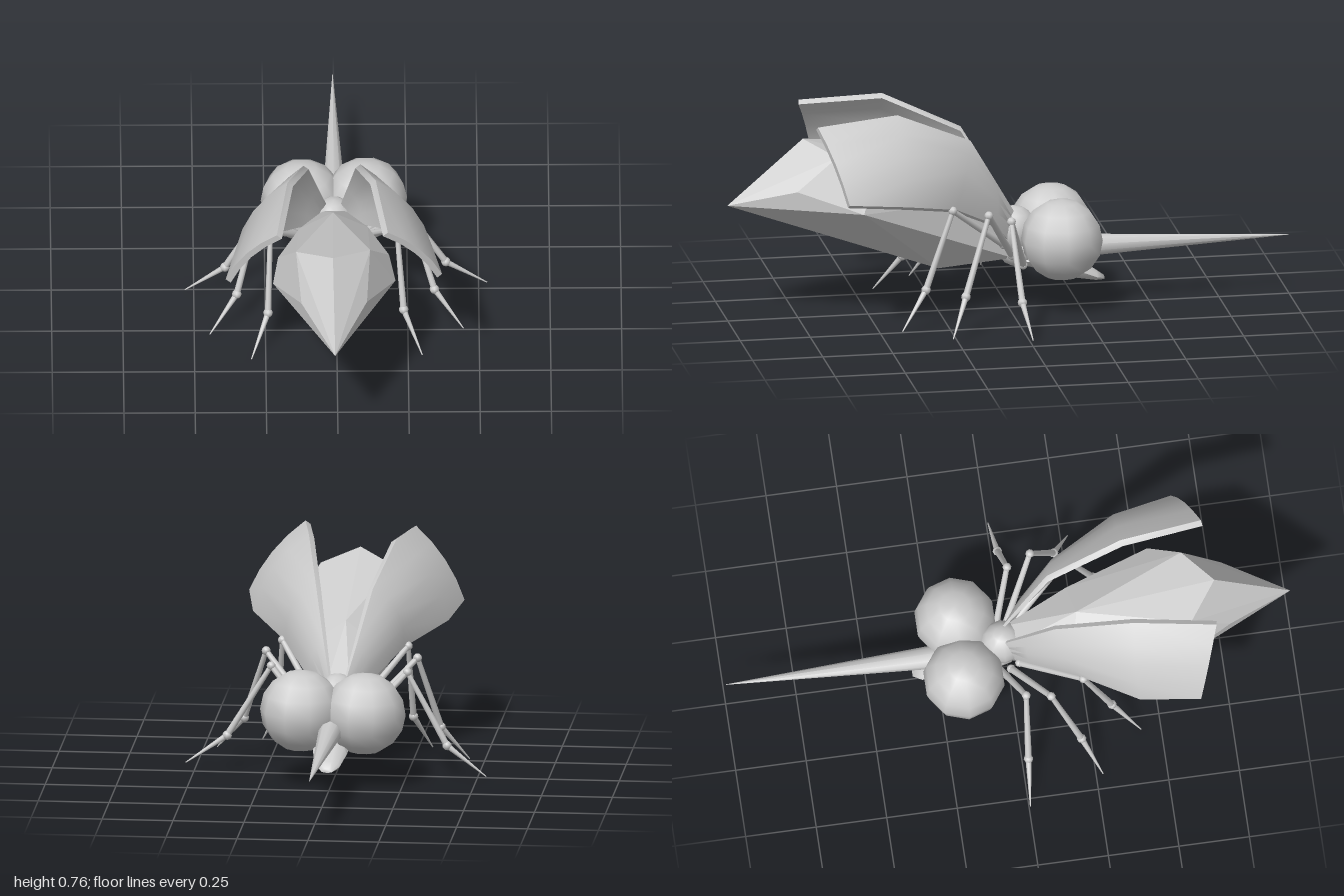
import * as THREE from 'three';
import { toCreasedNormals } from 'three/addons/utils/BufferGeometryUtils.js';
import { ConvexGeometry } from 'three/addons/geometries/ConvexGeometry.js';

const V = (x, y, z) => new THREE.Vector3(x, y, z);
const smooth = new THREE.MeshStandardMaterial({ color: 0xcccccc });
const faceted = new THREE.MeshStandardMaterial({ color: 0xcccccc, flatShading: true });

function add(parent, name, geometry, material = smooth) {
  const mesh = new THREE.Mesh(geometry, material);
  mesh.name = name;
  parent.add(mesh);
  return mesh;
}

// Closed skin over a row of equal-sized loops, turned outward whichever way the loops run.
function loft(loops, crease = 0.8) {
  const n = loops[0].length, points = loops.flat(), faces = [];
  for (let i = 0; i < loops.length - 1; i++) {
    for (let j = 0; j < n; j++) {
      const a = i * n + j, b = i * n + (j + 1) % n;
      faces.push([a, b, b + n], [a, b + n, a + n]);
    }
  }
  const last = (loops.length - 1) * n;
  // End caps are strips, so thin curved ends stay inside their outline
  for (let j = 0; j < n / 2 - 1; j++) {
    const a = j, b = j + 1, c = n - 2 - j, d = n - 1 - j;
    faces.push([a, c, b], [a, d, c], [last + a, last + b, last + c], [last + a, last + c, last + d]);
  }
  let volume = 0;
  for (const [a, b, c] of faces) volume += points[a].dot(points[b].clone().cross(points[c]));
  const geometry = new THREE.BufferGeometry().setFromPoints(points);
  geometry.setIndex(faces.flatMap(([a, b, c]) => (volume > 0 ? [a, b, c] : [a, c, b])));
  return toCreasedNormals(geometry, crease);
}

// Tapered rod between two points
function rod(parent, name, from, to, r0, r1, sides = 8) {
  const dir = to.clone().sub(from);
  const mesh = add(parent, name, new THREE.CylinderGeometry(r1, r0, dir.length(), sides));
  mesh.position.copy(from).addScaledVector(dir, 0.5);
  mesh.quaternion.setFromUnitVectors(V(0, 1, 0), dir.normalize());
}

function ball(parent, name, at, r, w = 8, h = 6) {
  const mesh = add(parent, name, new THREE.SphereGeometry(r, w, h));
  mesh.position.copy(at);
  return mesh;
}

// Curved wing case: each station runs from the inner upper edge to the outer lower edge
function wingCase(side) {
  const stations = [
    [V(0.03, 0.35, -0.02), V(0.06, 0.26, 0.01), 0.005, 0.010],
    [V(0.06, 0.47, 0.05), V(0.11, 0.33, 0.06), 0.020, 0.016],
    [V(0.10, 0.64, 0.15), V(0.21, 0.42, 0.22), 0.040, 0.022],
    [V(0.155, 0.76, 0.42), V(0.345, 0.475, 0.42), 0.035, 0.024],
    [V(0.195, 0.74, 0.71), V(0.38, 0.50, 0.63), 0.022, 0.022],
  ];
  const out = V(0.8, 0.58, -0.15).normalize();
  return loft(stations.map(([inner, outer, bulge, thick]) => {
    const arc = (offset) => [0, 0.25, 0.5, 0.75, 1].map((t) => {
      const p = inner.clone().lerp(outer, t);
      p.addScaledVector(out, bulge * 4 * t * (1 - t) - offset);
      p.x *= side;
      return p;
    });
    return [...arc(0), ...arc(thick).reverse()];
  }));
}

export function createModel() {
  const model = new THREE.Group();
  model.name = 'insect';
  const body = new THREE.Group();
  body.name = 'body';
  body.rotation.z = 0.025; // slight lean
  model.add(body);

  // Faceted abdomen
  const hull = [V(0, 0.42, 1), V(0, 0.65, 0.73), V(0, 0.24, 0.49), V(0, 0.155, 0.25), V(0, 0.5, 0.24)];
  for (const s of [-1, 1]) {
    hull.push(
      V(s * 0.115, 0.487, 0.77), V(s * 0.13, 0.61, 0.63), V(s * 0.195, 0.51, 0.52),
      V(s * 0.215, 0.42, 0.55), V(s * 0.12, 0.42, 0.22), V(s * 0.1, 0.3, 0.2),
      V(s * 0.04, 0.33, -0.01), V(s * 0.04, 0.19, -0.01));
  }
  add(body, 'abdomen', new ConvexGeometry(hull), faceted);

  // Thorax and head
  ball(body, 'thorax', V(0, 0.28, -0.02), 1, 10, 8).scale.set(0.075, 0.09, 0.085);
  ball(body, 'neck', V(0, 0.21, -0.04), 1, 10, 8).scale.set(0.065, 0.06, 0.08);
  rod(body, 'proboscis', V(0, 0.213, -0.18), V(0, 0.215, -1), 0.046, 0.001, 10);

  // Mouth as flattened rings: z, y, half width, half height
  const rings = [
    [-0.03, 0.18, 0.05, 0.02], [-0.14, 0.17, 0.07, 0.04], [-0.24, 0.135, 0.06, 0.036],
    [-0.31, 0.105, 0.042, 0.018], [-0.34, 0.095, 0.022, 0.007],
  ];
  add(body, 'mouth', loft(rings.map(([z, y, w, h]) => Array.from({ length: 10 }, (_, i) => {
    const a = (i / 10) * Math.PI * 2;
    return V(Math.cos(a) * w, y + Math.sin(a) * h, z);
  })), 1));

  // Leg joints from root to foot tip
  const legs = {
    front: [V(0.05, 0.165, -0.045), V(0.24, 0.375, 0.03), V(0.388, 0.12, 0.018), V(0.53, 0.018, 0.005)],
    middle: [V(0.08, 0.21, 0), V(0.267, 0.408, 0.115), V(0.347, 0.14, 0.212), V(0.445, 0.014, 0.275)],
    rear: [V(0.075, 0.25, 0.03), V(0.222, 0.42, 0.235), V(0.238, 0.143, 0.335), V(0.3, 0.012, 0.43)],
  };

  for (const s of [-1, 1]) {
    const label = s > 0 ? 'left' : 'right';
    ball(body, label + 'Eye', V(s * 0.112, 0.268, -0.172), 0.145, 10, 8);
    add(body, label + 'WingCase', wingCase(s));

    for (const [place, joints] of Object.entries(legs)) {
      const leg = new THREE.Group();
      leg.name = `${label}${place[0].toUpperCase()}${place.slice(1)}Leg`;
      body.add(leg);
      const [root, knee, ankle, tip] = joints.map((p) => V(p.x * s, p.y, p.z));
      ball(leg, 'hip', root, 0.016);
      rod(leg, 'thigh', root, knee, 0.013, 0.010);
      ball(leg, 'knee', knee, 0.016);
      rod(leg, 'shin', knee, ankle, 0.009, 0.012);
      ball(leg, 'ankle', ankle, 0.017);
      rod(leg, 'foot', ankle, tip, 0.011, 0.002);
    }
  }
  return model;
}
